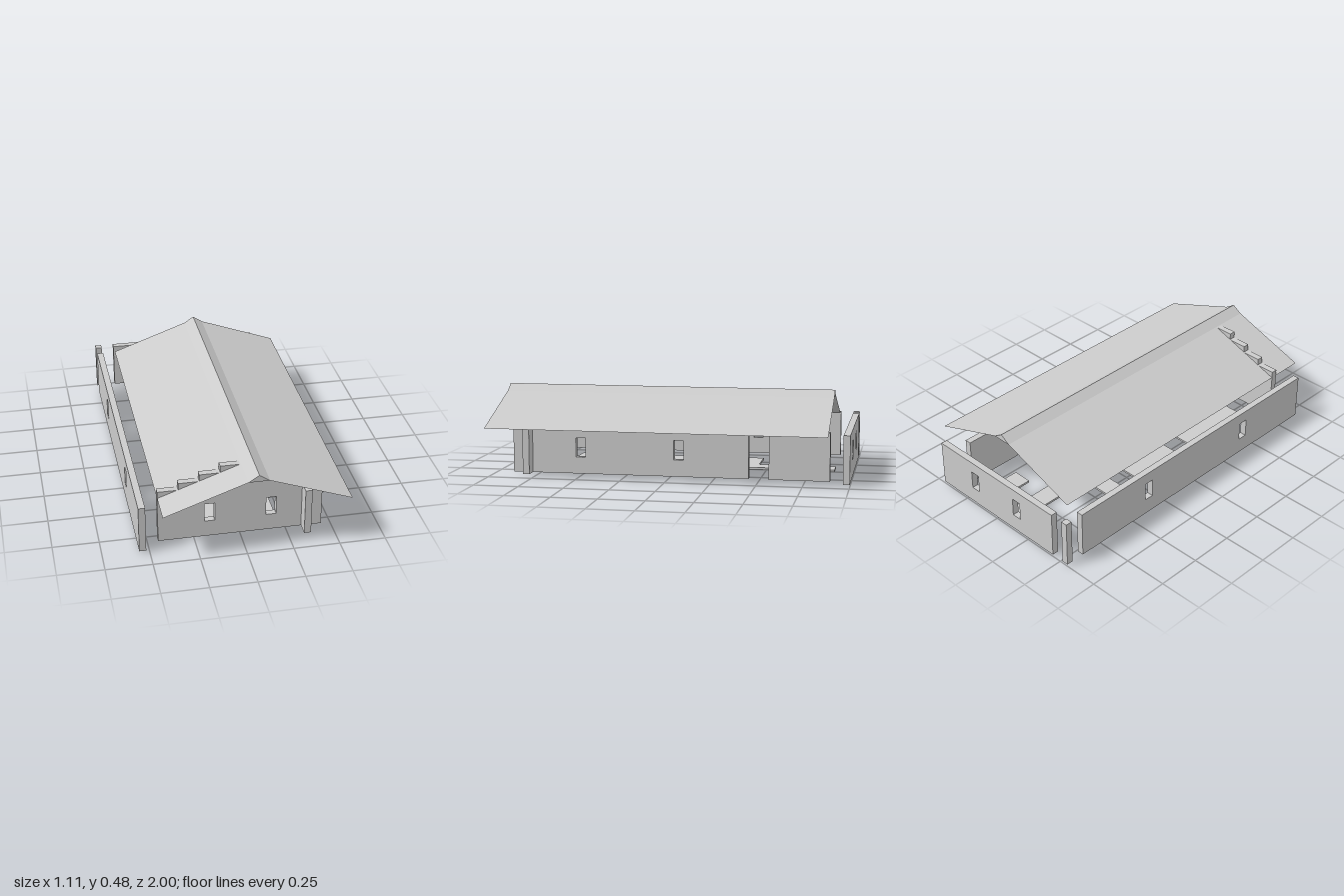
import * as THREE from 'three';

const U = 1 / 9;          // plan module
const T = U / 3;          // wall thickness
const Y0 = 0.012;         // floor level
const WALL_TOP = 0.278;
const STEP = 0.04;        // rise of each gable step

const material = new THREE.MeshStandardMaterial({ color: 0xcccccc, flatShading: true, side: THREE.DoubleSide });

function add(group, name, geometry) {
  const mesh = new THREE.Mesh(geometry, material);
  mesh.name = name;
  group.add(mesh);
}

// Upright slab from a [along, y] outline with windows cut at the given centres
function slab(outline, windows) {
  const shape = new THREE.Shape(outline.map(([a, y]) => new THREE.Vector2(a, y)));
  for (const c of windows) {
    const w = U / 4, low = 0.106, high = 0.213;
    shape.holes.push(new THREE.Path([[c - w, low], [c - w, high], [c + w, high], [c + w, low]]
      .map(([a, y]) => new THREE.Vector2(a, y))));
  }
  return new THREE.ExtrudeGeometry(shape, { depth: T, bevelEnabled: false });
}

const rect = (a, b) => [[a, Y0], [b, Y0], [b, WALL_TOP], [a, WALL_TOP]];

// Slab running along z, occupying x..x+T
const sideSlab = (x, a, b, windows) =>
  slab(rect(a, b), windows).rotateY(-Math.PI / 2).translate(x + T, 0, 0);

// Flat floor panel from an [x, z] outline in plan modules
function floorPanel(outline) {
  const shape = new THREE.Shape(outline.map(([x, z]) => new THREE.Vector2(x * U, -z * U)));
  return new THREE.ExtrudeGeometry(shape, { depth: Y0, bevelEnabled: false }).rotateX(-Math.PI / 2);
}

const floorRect = (x0, x1, z0, z1) => floorPanel([[x0, z0], [x1, z0], [x1, z1], [x0, z1]]);

// Thin roof sheet swept from front to back, with closed ends under the ridge cap
function roofGeometry() {
  const profile = [[-4 * U, 0.28], [0, 0.44], [U / 2, 0.477], [U, 0.44], [5 * U, 0.28]];
  const front = 1, back = -8 * U, pos = [];
  for (let i = 0; i < profile.length - 1; i++) {
    const [ax, ay] = profile[i], [bx, by] = profile[i + 1];
    pos.push(ax, ay, front, bx, by, front, bx, by, back);
    pos.push(ax, ay, front, bx, by, back, ax, ay, back);
  }
  for (const [z, order] of [[front, [1, 3, 2]], [back, [1, 2, 3]]]) {
    for (const i of order) pos.push(...profile[i], z);
  }
  const geometry = new THREE.BufferGeometry();
  geometry.setAttribute('position', new THREE.Float32BufferAttribute(pos, 3));
  geometry.computeVertexNormals();
  return geometry;
}

export function createModel() {
  const model = new THREE.Group();
  model.name = 'house';

  // Front wall with a stepped gable
  const gable = [[4 * U, Y0], [4 * U, WALL_TOP]];
  const levels = [1, 2, 3, 4, 3, 2, 1, 0];
  for (let i = levels.length - 1; i >= 0; i--) {
    const y = WALL_TOP + levels[i] * STEP;
    if (i < levels.length - 1) gable.push([(i - 3) * U, y]);
    gable.push([(i - 4) * U, y]);
  }
  gable.push([-4 * U, Y0]);
  add(model, 'frontWall', slab(gable, [-1.5 * U, 1.5 * U]).translate(0, 0, 7 * U));

  // Back wall and corner post
  add(model, 'backWall', slab(rect(-4 * U, 4 * U), [-1.5 * U, 1.5 * U]).translate(0, 0, -1));
  add(model, 'cornerPost', slab(rect(-5 * U, -5 * U + T), []).translate(0, 0, -1));

  // Side walls, one split by a doorway
  add(model, 'rightWall', sideSlab(-5 * U, -8 * U, 8 * U, [-3.5 * U, 3.5 * U]));
  add(model, 'leftWallFront', sideSlab(3 * U, -4 * U, 8 * U, [-0.5 * U, 4.5 * U]));
  add(model, 'leftWallBack', sideSlab(3 * U, -8 * U, -5 * U, []));

  // Floor panels
  add(model, 'frontRoomFloor', floorRect(-3, 2, 2, 6));
  add(model, 'middleRoomFloor', floorRect(-3, 2, -2, 1));
  add(model, 'hallFloor', floorPanel([[0, -3], [0, -8], [-1, -8], [-1, -4], [-3, -4], [-3, -3]]));
  add(model, 'smallRoomFloor', floorRect(1, 2, -7, -6));

  // Roof
  add(model, 'roof', roofGeometry());
  return model;
}
